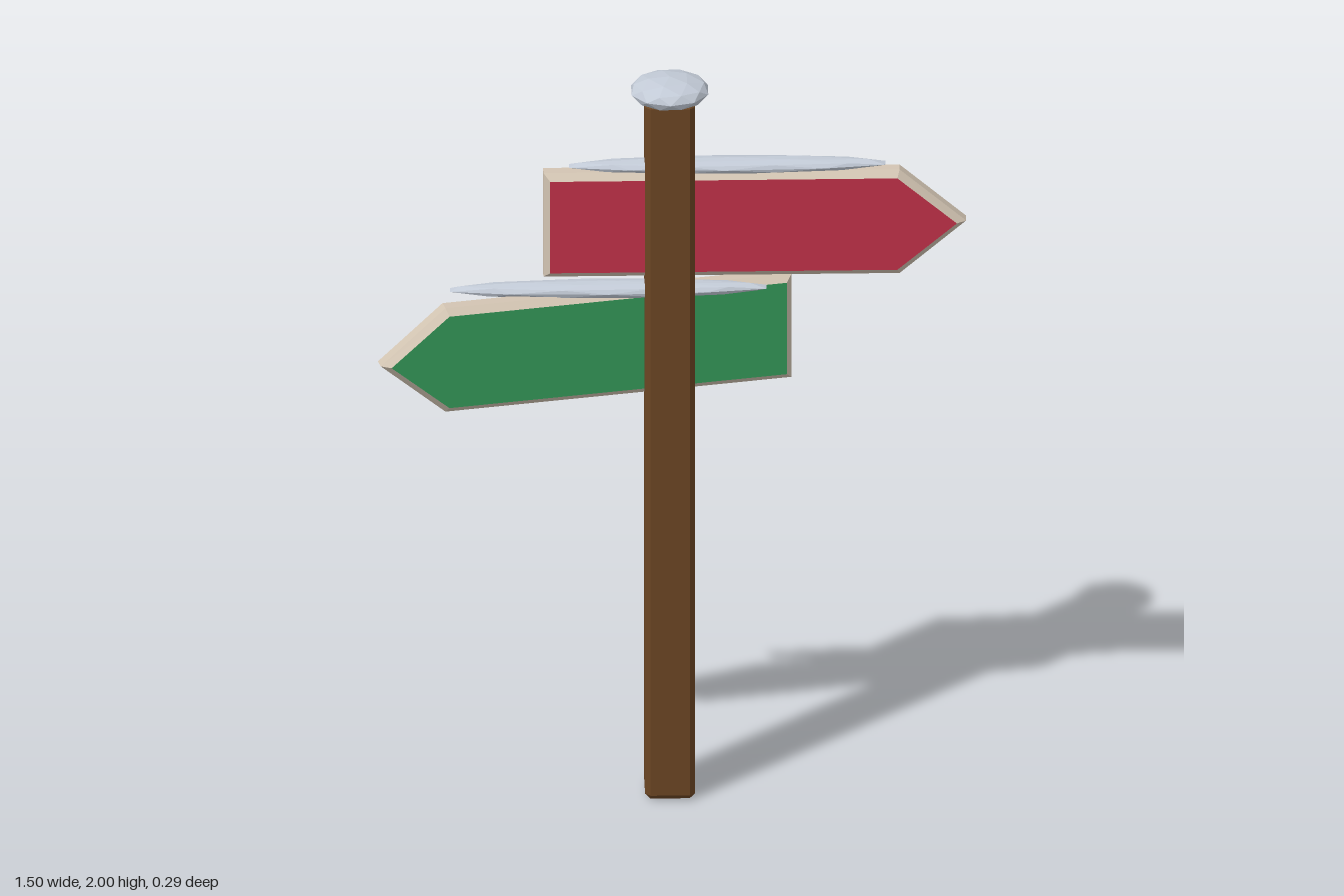
import * as THREE from 'three';
import { ConvexGeometry } from 'three/addons/geometries/ConvexGeometry.js';

const CX = -0.005, CZ = -0.003; // post axis

function mat(name, color) {
  const m = new THREE.MeshStandardMaterial({ color, flatShading: true });
  m.name = name;
  return m;
}

// Box with every edge chamfered
function chamferBox(w, h, d, c) {
  const pts = [];
  const half = [w / 2, h / 2, d / 2];
  for (const sx of [-1, 1]) for (const sy of [-1, 1]) for (const sz of [-1, 1]) {
    for (let axis = 0; axis < 3; axis++) {
      const p = half.map((v, i) => (i === axis ? v : v - c));
      pts.push(new THREE.Vector3(sx * p[0], sy * p[1], sz * p[2]));
    }
  }
  return new ConvexGeometry(pts);
}

// Arrow board centred on its own middle, pointing to dir (+1 or -1) along x
function arrowBoard(dir) {
  const L = 0.54, H = 0.145, bevel = 0.017, half = 0.034, bt = 0.018;
  const outline = [[-L, -H], [L - 0.17, -H], [L, 0], [L - 0.17, H], [-L, H]]
    .map(([x, y]) => new THREE.Vector2(x * dir, y));
  const geo = new THREE.ExtrudeGeometry(new THREE.Shape(outline), {
    depth: 2 * (half - bt), bevelEnabled: true, bevelSegments: 1,
    bevelSize: bevel, bevelOffset: -bevel, bevelThickness: bt,
  });
  geo.translate(0, 0, -(half - bt));
  return geo;
}

// Faceted snow lump with one vertex at the top pole
function snowLump(rx, ry, rz) {
  const geo = new THREE.IcosahedronGeometry(1, 1);
  geo.rotateZ(Math.atan(2 / (1 + Math.sqrt(5))));
  geo.scale(rx, ry, rz);
  return geo;
}

export function createModel() {
  const model = new THREE.Group();
  model.name = 'signpost';

  const wood = mat('brown wood', 0x6b4523);
  const frame = mat('pale wood', 0xd2c4b2);
  const red = mat('red paint', 0xc03048);
  const green = mat('green paint', 0x359a59);
  const snow = mat('snow', 0xc2cad6);

  const add = (name, geo, material, x, y, z, turn = 0) => {
    const mesh = new THREE.Mesh(geo, material);
    mesh.name = name;
    mesh.position.set(x, y, z);
    mesh.rotation.y = turn;
    model.add(mesh);
  };

  // Post
  add('post', chamferBox(0.128, 1.95, 0.128, 0.014), wood, CX, 0.975, CZ);

  // Boards: painted faces, pale bevelled rim
  add('upperBoard', arrowBoard(1), [red, frame], 0.212, 1.595, CZ);
  add('lowerBoard', arrowBoard(-1), [green, frame], -0.222, 1.255, CZ, 0.215);

  // Snow
  add('postSnow', snowLump(0.103, 0.038, 0.102), snow, CX, 1.962, CZ);
  add('upperBoardSnow', snowLump(0.425, 0.02, 0.04), snow, 0.142, 1.752, CZ);
  add('lowerBoardSnow', snowLump(0.425, 0.022, 0.04), snow, -0.162, 1.408, CZ);

  return model;
}
